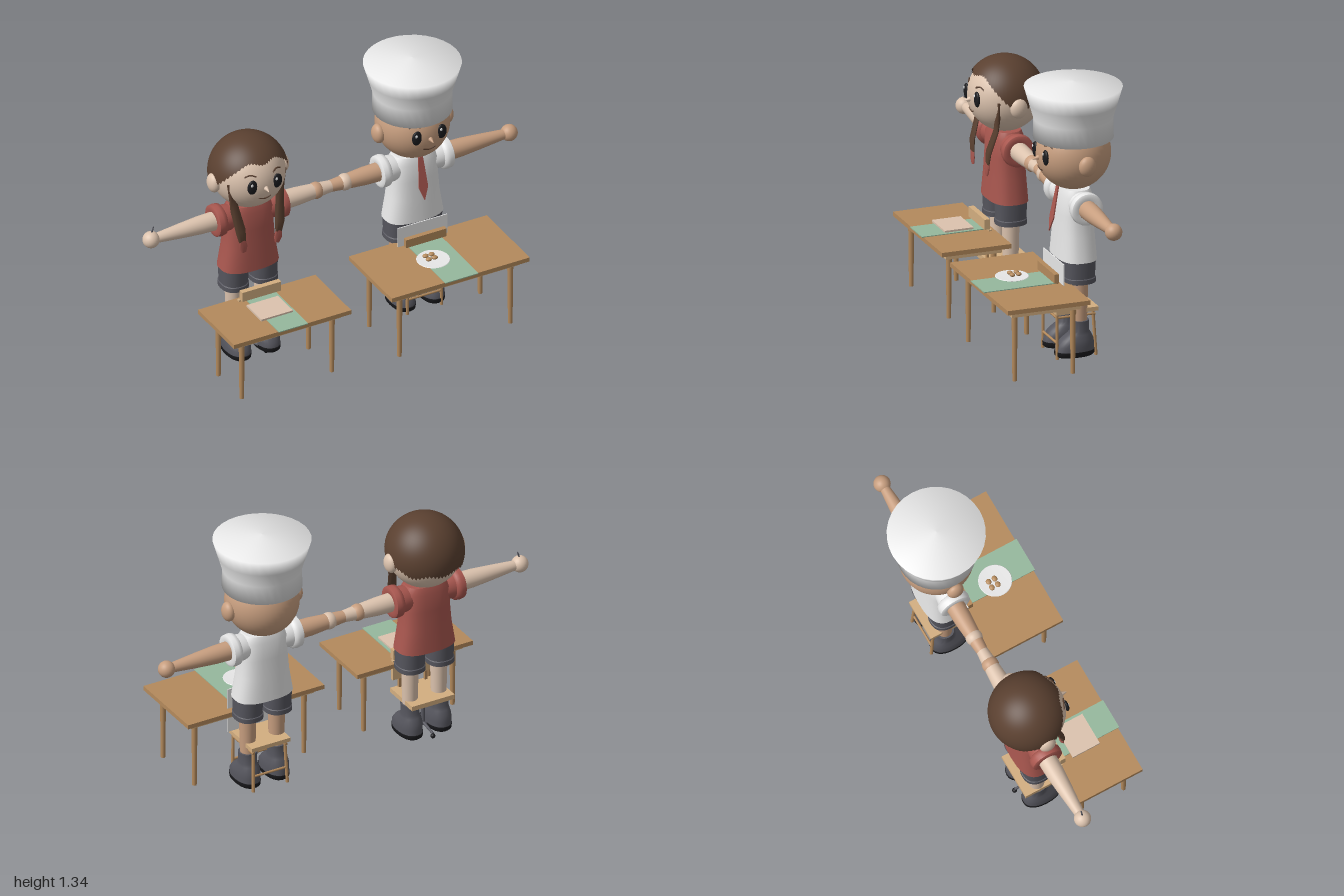
import * as THREE from 'three';
import { toCreasedNormals } from 'three/addons/utils/BufferGeometryUtils.js';

const mat = (name, color, side = THREE.FrontSide) => {
  const m = new THREE.MeshStandardMaterial({ color, side });
  m.name = name;
  return m;
};
const M = {
  fair: mat('fairSkin', 0xdcc3ae),
  tan: mat('tanSkin', 0xc79e7f),
  hair: mat('brownHair', 0x5a4030, THREE.DoubleSide),
  red: mat('redCloth', 0xa9574f, THREE.DoubleSide),
  white: mat('whiteCloth', 0xeaeaea, THREE.DoubleSide),
  grey: mat('greyCloth', 0x56565e),
  black: mat('black', 0x1b1b1e),
  wood: mat('wood', 0xb48a5c),
  pale: mat('paleWood', 0xd3ae80),
  green: mat('greenMat', 0x95b89d),
};

function add(parent, name, geo, m, x = 0, y = 0, z = 0) {
  const mesh = new THREE.Mesh(geo, m);
  mesh.name = name;
  mesh.position.set(x, y, z);
  parent.add(mesh);
  return mesh;
}
// box given by its lower and upper limits
function box(parent, name, m, x0, x1, y0, y1, z0, z1) {
  return add(parent, name, new THREE.BoxGeometry(x1 - x0, y1 - y0, z1 - z0), m,
    (x0 + x1) / 2, (y0 + y1) / 2, (z0 + z1) / 2);
}
function ball(parent, name, m, x, y, z, rx, ry = rx, rz = rx) {
  const b = add(parent, name, new THREE.SphereGeometry(1, 24, 16), m, x, y, z);
  b.scale.set(rx, ry, rz);
  return b;
}
const V = (x, y, z) => new THREE.Vector3(x, y, z);
const lathe = (pts) => new THREE.LatheGeometry(pts.map(p => new THREE.Vector2(...p)), 32);
// round bar between two points
function rod(parent, name, m, a, b, r0, r1 = r0) {
  const d = b.clone().sub(a);
  const mesh = add(parent, name, new THREE.CylinderGeometry(r1, r0, d.length(), 10), m);
  mesh.position.copy(a).addScaledVector(d, 0.5);
  mesh.quaternion.setFromUnitVectors(V(0, 1, 0), d.normalize());
  return mesh;
}
// rounded-square rings [y, rx, rz, cz] stacked upwards, closed at both ends
function loft(rings, power = 0.75, n = 28) {
  const first = rings[0], last = rings[rings.length - 1];
  const all = [[first[0], 0, 0, first[3]], ...rings, [last[0], 0, 0, last[3]]];
  const pos = [], idx = [];
  const curve = c => Math.sign(c) * Math.abs(c) ** power;
  for (const [y, rx, rz, cz = 0] of all)
    for (let i = 0; i < n; i++) {
      const a = i / n * Math.PI * 2;
      pos.push(rx * curve(Math.cos(a)), y, cz + rz * curve(Math.sin(a)));
    }
  for (let r = 0; r < all.length - 1; r++)
    for (let i = 0; i < n; i++) {
      const a = r * n + i, b = r * n + (i + 1) % n;
      idx.push(a, a + n, b, b, a + n, b + n);
    }
  const g = new THREE.BufferGeometry();
  g.setAttribute('position', new THREE.Float32BufferAttribute(pos, 3));
  g.setIndex(idx);
  return toCreasedNormals(g, 0.9);
}

const HY = 0.99, HR = 0.178; // head centre height and radius
const onHead = (x, y, lift = 0) => V(x, y, Math.sqrt((HR + lift) ** 2 - x * x - (y - HY) ** 2));

// shared body, standing on its own centre line
function person(name, skin, shirt) {
  const g = new THREE.Group();
  g.name = name;
  add(g, 'shirt', loft([[0.48, 0.15, 0.094], [0.6, 0.13, 0.087], [0.7, 0.122, 0.082],
    [0.79, 0.122, 0.078], [0.825, 0.1, 0.066]]), shirt);
  add(g, 'neck', new THREE.CylinderGeometry(0.05, 0.05, 0.08, 20), skin, 0, 0.83, 0);
  add(g, 'head', new THREE.SphereGeometry(HR, 40, 28), skin, 0, HY, 0);
  rod(g, 'nose', skin, V(0, 0.983, HR - 0.006), V(0, 0.977, HR + 0.028), 0.014, 0.001);
  const line = (n, pts, r) => add(g, n,
    new THREE.TubeGeometry(new THREE.CatmullRomCurve3(pts), 10, r, 6), M.hair);
  line('mouth', [onHead(-0.032, 0.93, 0.001), onHead(0, 0.921, 0.001), onHead(0.032, 0.93, 0.001)], 0.0035);

  for (const s of [-1, 1]) {
    // face
    const e = onHead(s * 0.066, 1.0);
    ball(g, 'eye', M.black, e.x, e.y, e.z, 0.026, 0.038, 0.012);
    ball(g, 'eyeHighlight', M.white, e.x - 0.007, e.y + 0.016, e.z + 0.01, 0.007, 0.008, 0.003);
    line('eyebrow', [[0.045, 1.052], [0.07, 1.06], [0.095, 1.05]].map(p => onHead(s * p[0], p[1], 0.002)), 0.004);
    ball(g, 'ear', skin, s * 0.183, 0.972, 0, 0.03, 0.049, 0.042);
    // sleeve and arm
    const sleeve = add(g, 'sleeve', toCreasedNormals(lathe([[0.05, 0.06], [0.062, 0.1], [0.066, 0.14],
      [0.077, 0.147], [0.08, 0.165], [0.077, 0.186], [0.066, 0.192], [0.044, 0.188]]), 0.9), shirt, 0, 0.758, 0);
    const arm = add(g, 'arm', lathe([[0.046, 0.17], [0.044, 0.26], [0.036, 0.36], [0.023, 0.5]]), skin, 0, 0.758, 0);
    sleeve.rotation.z = arm.rotation.z = -s * Math.PI / 2;
    ball(g, 'hand', skin, s * 0.518, 0.758, 0, 0.041);
    // leg, shorts and boot
    const leg = new THREE.Group();
    leg.name = 'leg';
    leg.position.x = s * 0.078;
    g.add(leg);
    add(leg, 'shortsLeg', loft([[0.372, 0.069, 0.076], [0.395, 0.069, 0.076], [0.398, 0.065, 0.072],
      [0.5, 0.068, 0.078]], 0.85), M.grey);
    add(leg, 'shin', new THREE.CylinderGeometry(0.042, 0.036, 0.23, 20), skin, 0, 0.275, 0);
    add(leg, 'boot', loft([[0.025, 0.058, 0.096, 0.025], [0.06, 0.059, 0.094, 0.024],
      [0.09, 0.055, 0.08, 0.013], [0.115, 0.046, 0.056, 0.002], [0.13, 0.043, 0.045, 0],
      [0.182, 0.044, 0.044, 0]], 0.88), M.grey);
    add(leg, 'sole', loft([[0.008, 0.05, 0.088, 0.025], [0.016, 0.058, 0.097, 0.025],
      [0.036, 0.06, 0.099, 0.025]], 0.88), M.black);
  }
  return g;
}

// hair cap: a sphere whose lower edge follows a hairline
function hairCap() {
  const g = new THREE.SphereGeometry(0.191, 64, 24);
  const p = g.attributes.position, uv = g.attributes.uv, nor = g.attributes.normal;
  for (let i = 0; i < p.count; i++) {
    const phi = uv.getX(i) * Math.PI * 2, f = Math.sin(phi);
    let limit = THREE.MathUtils.lerp(1.62, 0.93, THREE.MathUtils.smoothstep(f, 0.2, 0.9));
    if (f < 0) limit += 0.24 * Math.min(1, -f * 1.6);
    limit += 0.035 * Math.cos(phi * 8);
    const t = (1 - uv.getY(i)) * limit;
    const d = V(-Math.cos(phi) * Math.sin(t), Math.cos(t), f * Math.sin(t));
    nor.setXYZ(i, d.x, d.y, d.z);
    d.multiplyScalar(0.191);
    p.setXYZ(i, d.x, d.y, d.z);
  }
  return g;
}

function table(parent, name, x0, x1, z0, z1, top) {
  const g = new THREE.Group();
  g.name = name;
  parent.add(g);
  box(g, 'tableTop', M.wood, x0, x1, top - 0.022, top, z0, z1);
  const a0 = x0 + 0.035, a1 = x1 - 0.035, b0 = z0 + 0.035, b1 = z1 - 0.035;
  const lo = top - 0.05, hi = top - 0.022;
  for (const z of [b0, b1 - 0.016]) box(g, 'apronRail', M.pale, a0, a1, lo, hi, z, z + 0.016);
  for (const x of [a0, a1 - 0.016]) box(g, 'sideRail', M.pale, x, x + 0.016, lo, hi, b0, b1);
  for (const x of [x0 + 0.075, x1 - 0.07])
    for (const z of [z0 + 0.062, z1 - 0.062])
      rod(g, 'tableLeg', M.wood, V(x, 0, z), V(x, hi, z), 0.011, 0.015);
}

export function createModel() {
  const root = new THREE.Group();
  root.name = 'twoPupilsAtTables';
  const Z = -0.125;

  // girl with plaits
  const girl = person('girl', M.fair, M.red);
  girl.position.set(-0.442, 0, Z);
  root.add(girl);
  add(girl, 'hair', hairCap(), M.hair, 0, 0.988, 0);
  for (const s of [-1, 1]) {
    const plait = add(girl, 'plait', loft([[0.68, 0.018, 0.008, 0.124], [0.74, 0.026, 0.01, 0.122],
      [0.85, 0.023, 0.01, 0.09], [0.92, 0.018, 0.012, 0.085], [1.0, 0.018, 0.012, 0.085]], 1, 12), M.hair);
    const tip = add(girl, 'plaitTip', loft([[0.622, 0.012, 0.005, 0.125], [0.65, 0.022, 0.008, 0.125],
      [0.69, 0.017, 0.008, 0.124]], 1, 12), M.red);
    for (const m of [plait, tip]) {
      m.rotation.z = -s * 0.14;
      m.position.set(-s * 0.007, 0.01, 0);
      m.position.x = s * (0.098 - 0.69 * 0.14);
    }
  }
  rod(girl, 'stylus', M.grey, V(-0.52, 0.78, 0), V(-0.505, 0.825, 0), 0.005, 0.003);

  // boy with tall hat, tie and apron
  const boy = person('boy', M.tan, M.white);
  boy.position.set(0.438, 0, Z);
  root.add(boy);
  add(boy, 'hat', lathe([[0.1, 1.075], [0.19, 1.065], [0.188, 1.16], [0.21, 1.235], [0.233, 1.315], [0, 1.34]]), M.white);
  const tieShape = new THREE.Shape([[-0.012, 0], [-0.024, -0.155], [0, -0.222], [0.024, -0.155], [0.012, 0]]
    .map(p => new THREE.Vector2(...p)));
  const tie = add(boy, 'tie', new THREE.ExtrudeGeometry(tieShape, { depth: 0.006, bevelEnabled: false }),
    M.red, 0, 0.828, 0.076);
  tie.rotation.x = -0.19;
  box(boy, 'apron', M.white, -0.132, 0.132, 0.25, 0.48, 0.095, 0.1);

  // girl's table with mat and book
  table(root, 'girlTable', -0.757, -0.13, -0.037, 0.313, 0.353);
  box(root, 'girlMat', M.green, -0.52, -0.365, 0.352, 0.357, 0, 0.32);
  box(root, 'book', M.fair, -0.548, -0.38, 0.356, 0.366, 0.055, 0.2);

  // boy's table with mat, plate and biscuits
  table(root, 'boyTable', 0.067, 0.805, -0.068, 0.349, 0.376);
  box(root, 'boyMat', M.green, 0.35, 0.527, 0.375, 0.38, 0, 0.357);
  add(root, 'plate', toCreasedNormals(lathe([[0, 0.38], [0.05, 0.38], [0.08, 0.392], [0.078, 0.394], [0, 0.39]]), 0.6),
    M.white, 0.39, 0, 0.165);
  for (const x of [0.366, 0.398])
    for (const z of [0.134, 0.166]) ball(root, 'biscuit', M.wood, x, 0.4, z, 0.015, 0.009, 0.013);

  // girl's swivel chair
  const swivel = new THREE.Group();
  swivel.name = 'swivelChair';
  swivel.position.x = -0.445;
  root.add(swivel);
  box(swivel, 'seat', M.pale, -0.115, 0.115, 0.182, 0.206, -0.205, 0);
  box(swivel, 'backRest', M.pale, -0.104, 0.104, 0.36, 0.41, -0.012, 0.015);
  box(swivel, 'backPanel', M.pale, -0.112, 0.112, 0.255, 0.36, -0.02, -0.004);
  for (const x of [-0.07, 0.07]) box(swivel, 'backPost', M.wood, x - 0.008, x + 0.008, 0.19, 0.37, -0.018, -0.006);
  rod(swivel, 'column', M.grey, V(0, 0.03, -0.11), V(0, 0.185, -0.11), 0.009);
  for (let i = 0; i < 5; i++) {
    const a = i / 5 * Math.PI * 2 - Math.PI / 2;
    const x = Math.cos(a) * 0.09, z = -0.11 + Math.sin(a) * 0.09;
    rod(swivel, 'baseArm', M.grey, V(0, 0.042, -0.11), V(x, 0.025, z), 0.008, 0.006);
    ball(swivel, 'caster', M.black, x, 0.012, z, 0.012);
  }

  // boy's wooden chair
  const chair = new THREE.Group();
  chair.name = 'woodenChair';
  chair.position.x = 0.438;
  root.add(chair);
  box(chair, 'seat', M.pale, -0.105, 0.105, 0.222, 0.242, -0.212, 0);
  box(chair, 'backRail', M.wood, -0.108, 0.108, 0.385, 0.428, -0.012, 0.012);
  for (const s of [-1, 1]) {
    rod(chair, 'backLeg', M.wood, V(s * 0.092, 0, -0.203), V(s * 0.085, 0.225, -0.19), 0.008);
    rod(chair, 'frontPost', M.wood, V(s * 0.092, 0, -0.008), V(s * 0.085, 0.4, -0.008), 0.008);
    rod(chair, 'sideRung', M.wood, V(s * 0.09, 0.205, -0.2), V(s * 0.09, 0.205, -0.01), 0.006);
  }
  for (const [y, z] of [[0.08, -0.198], [0.08, -0.008], [0.205, -0.008]])
    rod(chair, 'rung', M.wood, V(-0.09, y, z), V(0.09, y, z), 0.006);
  return root;
}
